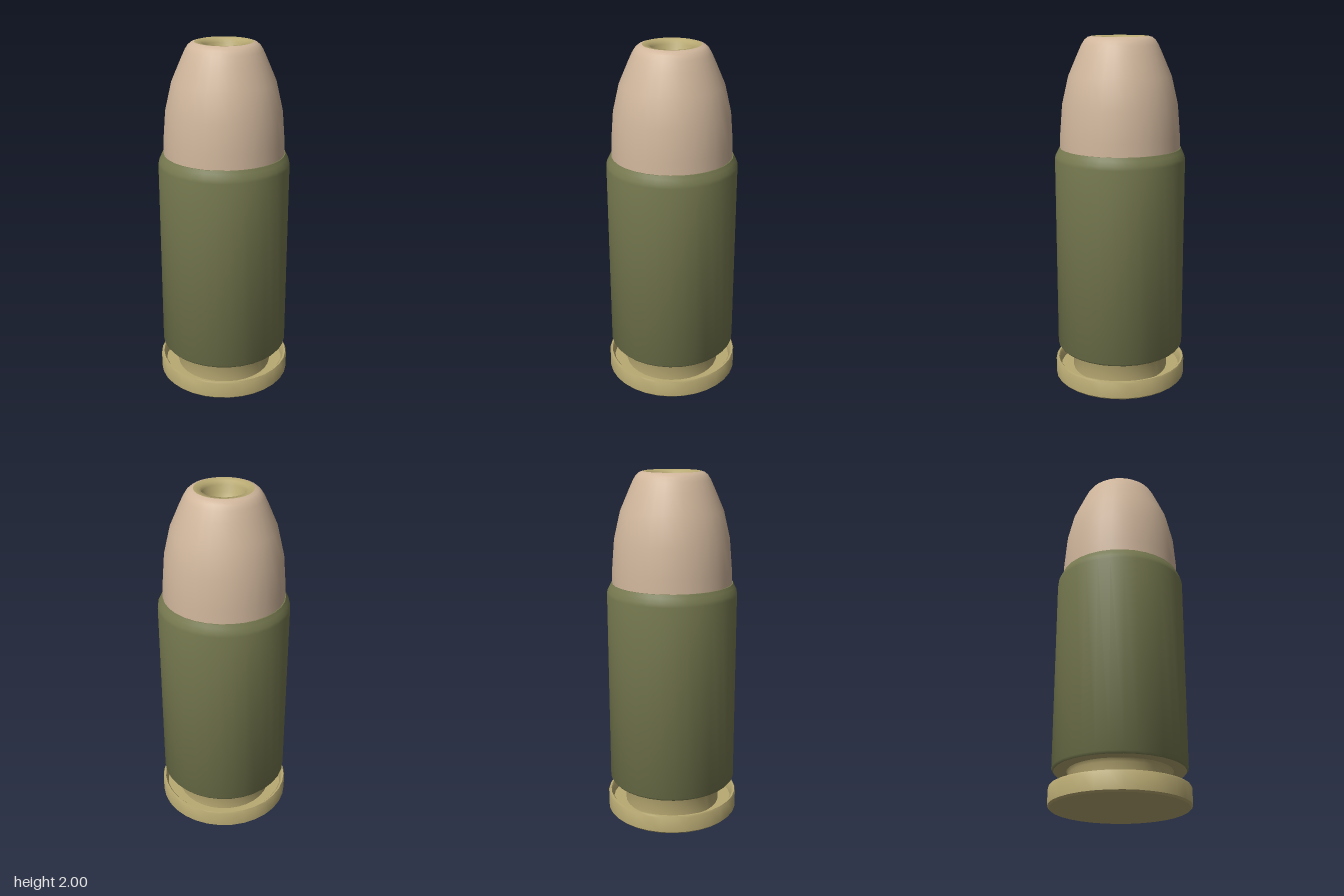
import * as THREE from 'three';
import { toCreasedNormals } from 'three/addons/utils/BufferGeometryUtils.js';

const SIDES = 32;

// Turns a [radius, height] profile into a named mesh with crisp hard edges
function turned(name, color, profile, crease = 0.7) {
  const points = profile.map(([r, y]) => new THREE.Vector2(r, y));
  const geometry = toCreasedNormals(new THREE.LatheGeometry(points, SIDES), crease);
  const mesh = new THREE.Mesh(geometry, new THREE.MeshStandardMaterial({ color, side: THREE.DoubleSide }));
  mesh.name = name;
  return mesh;
}

export function createModel() {
  const group = new THREE.Group();
  group.name = 'cartridge';
  const brass = 0xb9aa73, green = 0x777a50, copper = 0xd0b69c;

  // Flat base, raised rim lip, sunken groove, neck and underside of the case
  group.add(turned('rimAndNeck', brass, [
    [0, 0], [0.375, 0], [0.385, 0.01], [0.385, 0.1], [0.38, 0.11], [0.37, 0.11],
    [0.362, 0.1], [0.355, 0.05], [0.28, 0.05], [0.28, 0.18], [0.29, 0.197], [0.36, 0.197],
  ]));

  // Straight case with a rounded shoulder at the mouth
  group.add(turned('case', green, [
    [0.36, 0.197], [0.37, 0.21], [0.37, 1.32], [0.367, 1.34], [0.355, 1.365], [0.345, 1.385], [0.325, 1.385],
  ]));

  // Ogive tip
  group.add(turned('tip', copper, [
    [0.325, 1.36], [0.34, 1.37], [0.338, 1.46], [0.324, 1.63], [0.288, 1.785], [0.236, 1.905],
    [0.213, 1.955], [0.197, 1.98], [0.18, 1.994], [0.16, 2],
  ]));

  // Hollow point: flat lip rolling into a round bowl
  group.add(turned('hollow', brass, [
    [0.16, 2], [0.125, 1.995], [0.115, 1.975], [0.105, 1.94], [0.085, 1.905], [0.05, 1.88], [0, 1.87],
  ], 1.2));

  return group;
}
